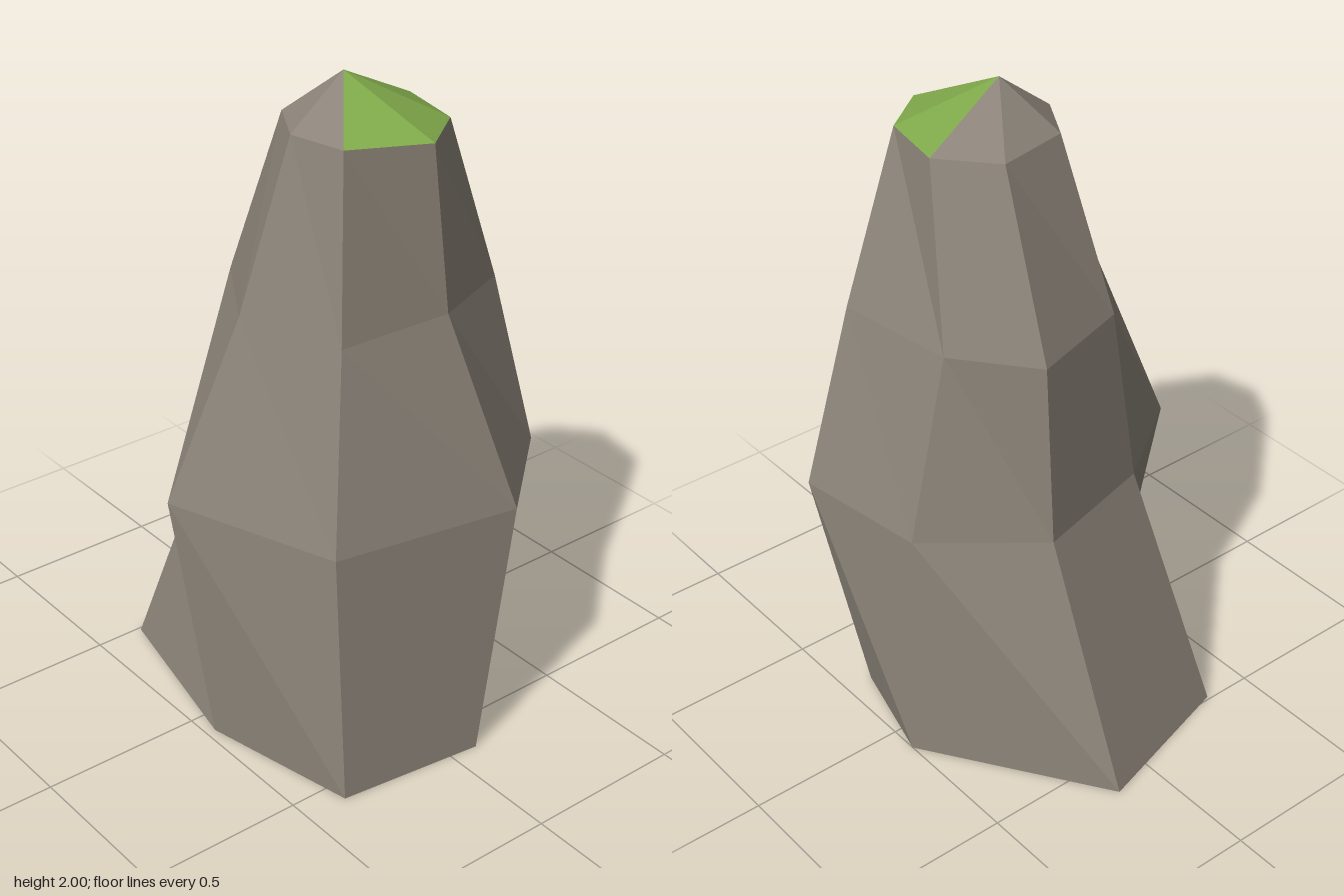
import * as THREE from 'three';

// Seven-sided cross-sections [x, z], going east, south, west, north
const LEVELS = [
  { y: 0, ring: [[0.625, -0.09], [0.57, 0.365], [0.08, 0.47], [-0.49, 0.35], [-0.63, -0.14], [-0.09, -0.5], [0.25, -0.41]] },
  { y: 0.77, ring: [[0.61, -0.225], [0.505, 0.35], [-0.03, 0.535], [-0.235, 0.24], [-0.34, -0.16], [-0.087, -0.475], [0.34, -0.535]] },
  { y: 1.34, ring: [[0.405, -0.125], [0.39, 0.24], [0.065, 0.34], [-0.205, 0.17], [-0.305, -0.16], [-0.08, -0.34], [0.305, -0.39]] },
  { y: 1.86, ring: [[0.405, -0.06], [0.295, 0.16], [0.12, 0.2], [-0.035, 0.11], [-0.08, -0.12], [0.075, -0.255], [0.29, -0.215]] },
];
const SIDES = 7;
const APEX = [0.12, 2, 0.02];
const BASE_CENTRE = [0, 0, 0];
const MOSSY_SIDES = [5, 6, 0];

function corner(level, k) {
  const [x, z] = LEVELS[level].ring[k % SIDES];
  return [x, LEVELS[level].y, z];
}

function facetMesh(name, triangles, material) {
  const geometry = new THREE.BufferGeometry();
  geometry.setAttribute('position', new THREE.Float32BufferAttribute(triangles.flat(2), 3));
  geometry.computeVertexNormals();
  const mesh = new THREE.Mesh(geometry, material);
  mesh.name = name;
  return mesh;
}

export function createModel() {
  const stone = new THREE.MeshStandardMaterial({ color: 0x8c8479, flatShading: true });
  stone.name = 'stone';
  const moss = new THREE.MeshStandardMaterial({ color: 0x7fa94a, flatShading: true });
  moss.name = 'moss';

  const body = [], stoneCap = [], mossCap = [], base = [];
  const top = LEVELS.length - 1;
  for (let k = 0; k < SIDES; k++) {
    // Side facets between neighbouring levels
    for (let i = 0; i < top; i++) {
      const low = corner(i, k), lowNext = corner(i, k + 1);
      const high = corner(i + 1, k), highNext = corner(i + 1, k + 1);
      body.push([low, high, highNext], [low, highNext, lowNext]);
    }
    // Peak, partly covered in moss
    const cap = MOSSY_SIDES.includes(k) ? mossCap : stoneCap;
    cap.push([corner(top, k), APEX, corner(top, k + 1)]);
    // Underside
    base.push([corner(0, k), corner(0, k + 1), BASE_CENTRE]);
  }

  const model = new THREE.Group();
  model.name = 'rockPillar';
  model.add(
    facetMesh('rockBody', body, stone),
    facetMesh('rockPeak', stoneCap, stone),
    facetMesh('mossPatch', mossCap, moss),
    facetMesh('rockBase', base, stone),
  );
  return model;
}
